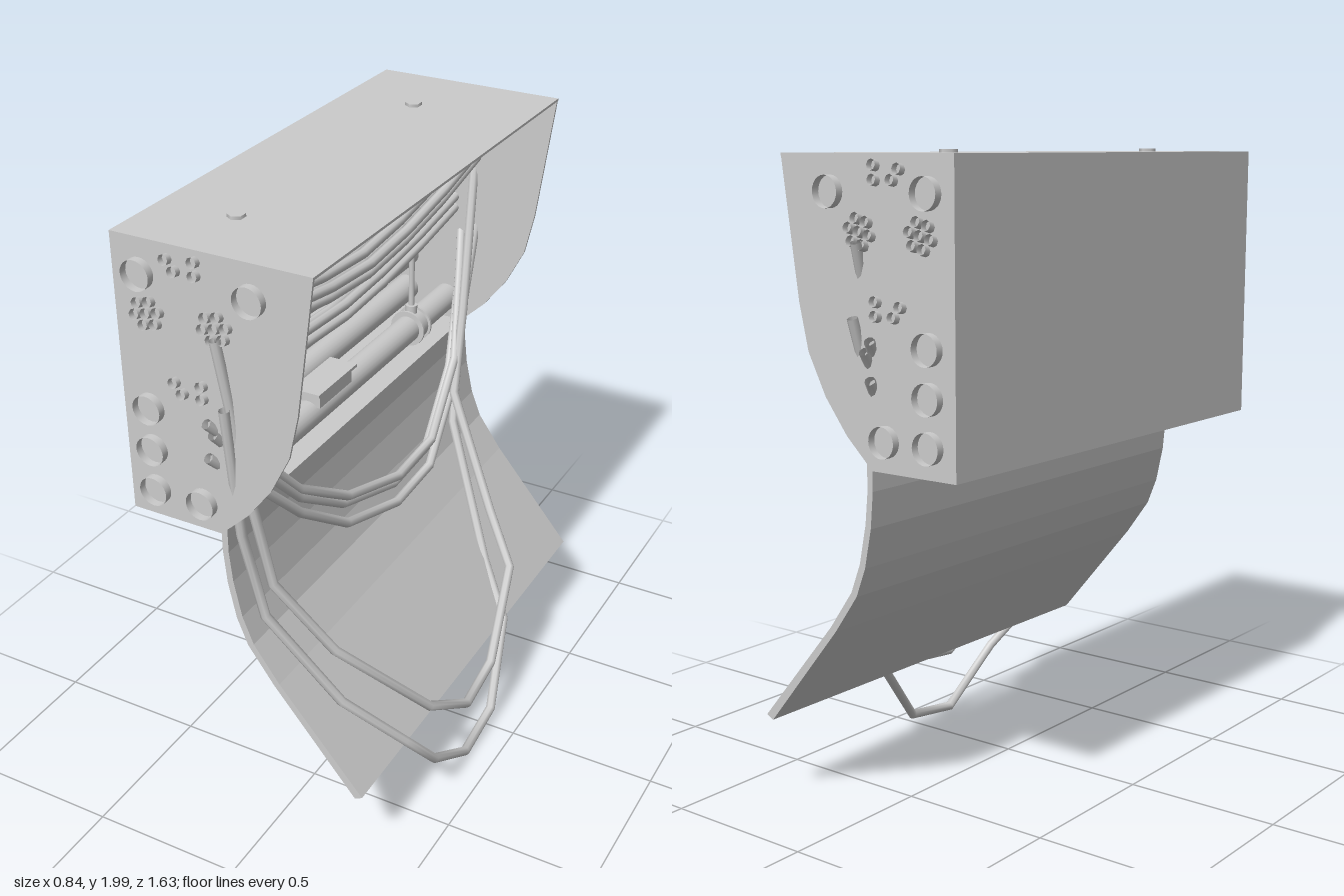
import * as THREE from 'three';

const grey = new THREE.MeshStandardMaterial({ color: 0xcccccc, side: THREE.DoubleSide });

// Polyline curve whose tube rings fall exactly on its points
class Polyline extends THREE.Curve {
  constructor(points) { super(); this.points = points; }
  getPoint(t, target = new THREE.Vector3()) {
    const n = this.points.length - 1;
    const s = Math.min(Math.max(t, 0), 1) * n;
    const i = Math.min(Math.floor(s), n - 1);
    return target.copy(this.points[i]).lerp(this.points[i + 1], s - i);
  }
  getPointAt(t, target) { return this.getPoint(t, target); }
  getTangentAt(t, target) { return this.getTangent(t, target); }
}

export function createModel() {
  const model = new THREE.Group();

  function add(name, geometry, x = 0, y = 0, z = 0, parent = model) {
    const mesh = new THREE.Mesh(geometry, grey);
    mesh.name = name;
    mesh.position.set(x, y, z);
    parent.add(mesh);
    return mesh;
  }
  function extrude(points, depth) {
    const shape = new THREE.Shape(points.map(([x, y]) => new THREE.Vector2(x, y)));
    return new THREE.ExtrudeGeometry(shape, { depth, bevelEnabled: false }).translate(0, 0, -depth / 2);
  }
  function wire(name, points, radius = 0.016) {
    const path = new Polyline(points.map(p => new THREE.Vector3(...p)));
    add(name, new THREE.TubeGeometry(path, points.length - 1, radius, 8));
  }

  // Housing: two end plates with a curved front edge, plus top, back and bottom panels
  const outline = [[-0.42, 1.11], [-0.115, 1.11], [-0.02, 1.2], [0.06, 1.305], [0.124, 1.43],
    [0.156, 1.57], [0.215, 1.99], [-0.42, 1.99]];
  for (const side of [1, -1]) add('endPlate', extrude(outline, 0.008), 0, 0, side * 0.776);
  add('topPanel', new THREE.BoxGeometry(0.635, 0.008, 1.56), -0.1025, 1.986, 0);
  add('backPanel', new THREE.BoxGeometry(0.008, 0.88, 1.56), -0.416, 1.55, 0);
  add('bottomPanel', new THREE.BoxGeometry(0.305, 0.008, 1.56), -0.2675, 1.114, 0);

  // Hanging cover, curved outwards at its foot
  add('cover', extrude([[-0.115, 1.13], [-0.115, 1.05], [-0.105, 0.94], [-0.08, 0.82], [-0.045, 0.73],
    [0.04, 0.61], [0.315, 0.275], [0.34, 0.288], [0.06, 0.62], [-0.025, 0.74],
    [-0.06, 0.83], [-0.085, 0.95], [-0.095, 1.05], [-0.095, 1.13]], 1.56));

  // Open pipes running through both end plates
  const pipeGeometry = new THREE.CylinderGeometry(0.046, 0.046, 1.61, 24, 1, true).rotateX(Math.PI / 2);
  for (const [x, y] of [[-0.33, 1.885], [0.025, 1.885], [-0.33, 1.47], [-0.33, 1.335], [-0.33, 1.2], [-0.17, 1.2]])
    add('pipe', pipeGeometry, x, y, 0);

  // Gently sagging wire bundles: [end x, end y]
  const hexagon = (cx, cy) => [[cx, cy], ...Array.from({ length: 6 }, (_, i) => {
    const a = i * Math.PI / 3 + 0.25;
    return [cx + 0.038 * Math.cos(a), cy + 0.038 * Math.sin(a)];
  })];
  const loose = y => [[-0.235, y + 0.03], [-0.21, y], [-0.145, y + 0.04], [-0.145, y]];
  const bundles = [
    { name: 'upperWire', sag: 0.09, ends: loose(1.92) },
    { name: 'rearBundleWire', sag: 0.13, ends: hexagon(-0.31, 1.775) },
    { name: 'frontBundleWire', sag: 0.13, ends: hexagon(-0.09, 1.78) },
    { name: 'lowerWire', sag: 0.09, ends: loose(1.55) },
  ];
  for (const { name, sag, ends } of bundles)
    for (const [x, y] of ends)
      wire(name, [0.8, 0.5, 0.24, 0, -0.24, -0.5, -0.8].map(z => [x, y - sag * (1 - Math.abs(z / 0.8) ** 1.6), z]));

  // Wires drooping in front of the cover
  for (const [endX, endY, drop, x] of [[-0.13, 1.48, 0, 0.01], [-0.11, 1.45, 0.035, -0.01], [-0.13, 1.37, 0.105, 0.005]])
    wire('droopingWire', [[endX, endY, 0.8], [-0.09, 1.37 - drop, 0.7], [-0.04, 1.11 - drop * 0.8, 0.47],
      [x - 0.02, 0.96 - drop, 0.23], [x, 0.875 - drop, -0.07], [x, 0.89 - drop, -0.31],
      [x - 0.03, 1.09 - drop, -0.54], [-0.09, 1.37 - drop, -0.71], [endX, endY, -0.8]]);

  // Two long loops hanging below the housing
  wire('innerLoop', [[-0.085, 1.75, 0.8], [-0.03, 1.2, 0.74], [0, 0.92, 0.7], [0.17, 0.69, 0.635],
    [0.385, 0.4, 0.42], [0.4, 0.235, 0.175], [0.39, 0.26, -0.03], [0.345, 0.5, -0.26],
    [0.22, 0.64, -0.355], [0, 0.98, -0.5], [-0.03, 1.25, -0.62], [-0.085, 1.75, -0.8]]);
  wire('outerLoop', [[-0.068, 1.54, 0.8], [-0.07, 1.1, 0.745], [-0.025, 0.8, 0.71], [0.19, 0.5, 0.635],
    [0.34, 0.3, 0.5], [0.405, 0.19, 0.42], [0.4, 0.025, 0.175], [0.395, 0.055, -0.035],
    [0.34, 0.29, -0.24], [0.21, 0.43, -0.35], [-0.025, 0.83, -0.55], [-0.065, 1.15, -0.67], [-0.068, 1.54, -0.8]]);

  // Hanger rods with a nut above and a flanged pipe clamp below
  for (const z of [0.54, -0.5]) {
    const hanger = new THREE.Group();
    hanger.name = 'hanger';
    hanger.position.set(-0.17, 0, z);
    model.add(hanger);
    add('rod', new THREE.CylinderGeometry(0.01, 0.01, 0.76, 12), 0, 1.62, 0, hanger);
    add('nut', new THREE.CylinderGeometry(0.027, 0.027, 0.024, 6), 0, 1.988, 0, hanger);
    add('washer', new THREE.CylinderGeometry(0.02, 0.02, 0.03, 16), 0, 1.96, 0, hanger);
    add('clampBoss', new THREE.CylinderGeometry(0.02, 0.02, 0.05, 16), 0, 1.255, 0, hanger);
    const ring = r => new THREE.CylinderGeometry(r, r, 1, 24).rotateX(Math.PI / 2);
    add('clampBand', ring(0.055), 0, 1.2, 0, hanger).scale.z = 0.055;
    for (const s of [1, -1]) add('clampFlange', ring(0.064), 0, 1.2, s * 0.026, hanger).scale.z = 0.008;
  }

  // Small bracket sitting on the lower front pipe
  add('bracketBlock', new THREE.BoxGeometry(0.08, 0.05, 0.2), -0.165, 1.255, 0.1);
  add('bracketPlate', new THREE.BoxGeometry(0.1, 0.01, 0.24), -0.165, 1.283, 0.1);

  return model;
}
